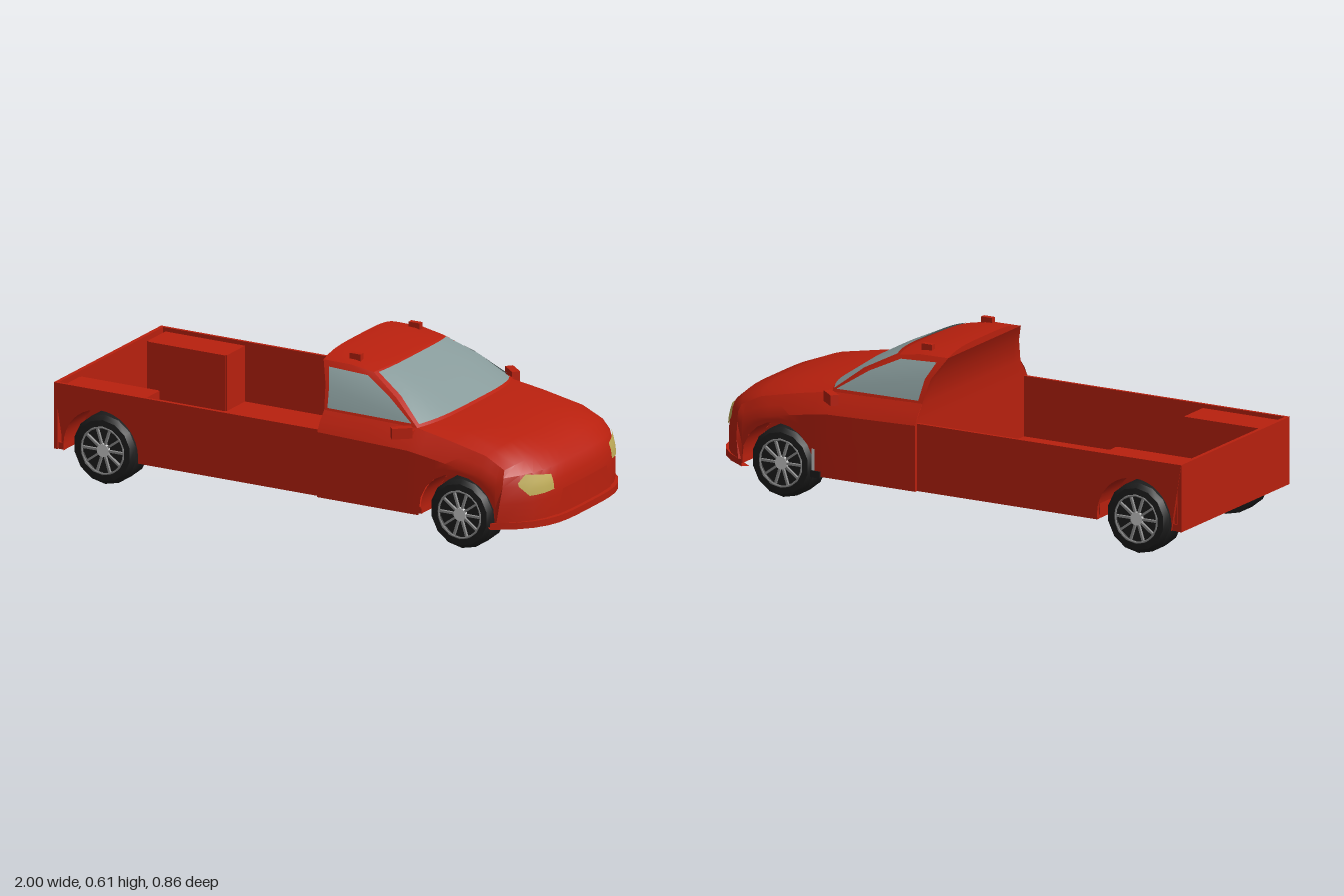
import * as THREE from 'three';
import { toCreasedNormals } from 'three/addons/utils/BufferGeometryUtils.js';

const mat = (color) => new THREE.MeshStandardMaterial({ color, side: THREE.DoubleSide });
const RED = mat(0xb8200e), GLASS = mat(0x879a9a), TYRE = mat(0x1d1d1d);
const METAL = mat(0x8c8c8c), LAMP = mat(0xc0ad58), GREY = mat(0xcccccc);
const { lerp } = THREE.MathUtils;
const AXLES = [-0.805, 0.675], HUB = 0.13, ARCH = 0.155, SILL = 0.11;

function add(parent, name, geo, material, x = 0, y = 0, z = 0) {
  const m = new THREE.Mesh(geo, material);
  m.name = name;
  m.position.set(x, y, z);
  parent.add(m);
  return m;
}

// Surface through a rectangular array of [x, y, z] points
function grid(rows) {
  const n = rows[0].length, idx = [];
  for (let i = 0; i < rows.length - 1; i++)
    for (let j = 0; j < n - 1; j++) {
      const a = i * n + j, b = a + n;
      idx.push(a, b, a + 1, b, b + 1, a + 1);
    }
  const g = new THREE.BufferGeometry();
  g.setAttribute('position', new THREE.Float32BufferAttribute(rows.flat(2), 3));
  g.setIndex(idx);
  return toCreasedNormals(g, 0.5);
}

// Cross-car row [x, y, halfWidth, bow, crown] evaluated at t = -1..1
const across = ([x, y, w, bow, crown], t) => [x - bow * t ** 4, y - crown * t ** 4, w * t];
const sweep = (rows, n = 16) =>
  grid(rows.map((r) => Array.from({ length: n + 1 }, (_, i) => across(r, 1 - (2 * i) / n))));

// Centre line from roof over windscreen, bonnet and nose to the bumper
const ROOF = [[0.045, 0.605, 0.255, 0, 0.024], [0.16, 0.598, 0.255, 0, 0.018], [0.27, 0.572, 0.25, 0.02, 0.007]];
const SCREEN = [ROOF[2], [0.41, 0.505, 0.295, 0.04, 0.005], [0.53, 0.425, 0.335, 0.05, 0.01]];
const NOSE = [
  SCREEN[2], [0.65, 0.413, 0.34, 0.04, 0.02], [0.8, 0.388, 0.345, 0.03, 0.028], [0.9, 0.35, 0.35, 0.05, 0.03],
  [0.955, 0.305, 0.365, 0.1, 0.01], [0.975, 0.26, 0.372, 0.12, 0], [0.98, 0.2, 0.385, 0.13, 0], [0.98, 0.13, 0.39, 0.14, 0],
];
const LIP = [NOSE[7], [1, 0.13, 0.4, 0.18, 0], [1, 0.105, 0.4, 0.18, 0], [0.95, 0.105, 0.38, 0.15, 0]];
const EDGE = NOSE.map((r) => across(r, 1));

// Point on the front face of the nose at height y and side z, pushed forward by d
function onNose(z, y, d) {
  let i = 4;
  while (i < 6 && NOSE[i + 1][1] > y) i++;
  const k = (NOSE[i][1] - y) / (NOSE[i][1] - NOSE[i + 1][1]);
  const r = NOSE[i].map((v, j) => lerp(v, NOSE[i + 1][j], k));
  return [r[0] - r[3] * (z / r[2]) ** 4 + d, y, z];
}

// Door and front wing, with the lower edge following the wheel arch
function wing(s) {
  const xs = [0.1, 0.3, 0.47, 0.5199];
  for (let i = 0; i <= 10; i++) xs.push(AXLES[1] - ARCH * Math.cos((i * Math.PI) / 10));
  xs.push(0.8301);
  const cols = xs.map((x) => {
    let top = [lerp(0.425, 0.415, (x - 0.1) / 0.38), lerp(0.345, 0.335, (x - 0.1) / 0.38)];
    for (let i = 0; i < 3; i++) {
      const [a, b] = [EDGE[i], EDGE[i + 1]];
      if (x >= a[0]) top = [1, 2].map((j) => lerp(a[j], b[j], (x - a[0]) / (b[0] - a[0])));
    }
    const dx = x - AXLES[1];
    const low = Math.abs(dx) < ARCH ? Math.max(SILL, HUB + Math.sqrt(ARCH ** 2 - dx * dx)) : SILL;
    const out = lerp(0.395, 0.38, Math.max(0, (x - 0.5) / 0.35));
    const shoulder = top[0] - 0.07;
    return [
      [x, top[0], s * top[1]], [x, top[0] - 0.035, s * lerp(top[1], out, 0.6)], [x, shoulder, s * out],
      [x, (shoulder + low) / 2, s * out], [x, low, s * out],
    ];
  });
  cols.push(EDGE.slice(3).map(([x, y, z]) => [x, y, s * z]));
  return grid(cols);
}

function makeWheel() {
  const g = new THREE.Group();
  const profile = [[0, -0.055], [0.13, -0.055], [0.13, 0.035], [0.115, 0.053], [0.092, 0.055], [0.087, 0.04], [0, 0.04]];
  const tyre = new THREE.LatheGeometry(profile.map(([r, a]) => new THREE.Vector2(r, a)), 14).rotateX(Math.PI / 2);
  add(g, 'tyre', toCreasedNormals(tyre, 0.5), TYRE);
  add(g, 'rim', new THREE.TorusGeometry(0.087, 0.004, 4, 20), METAL, 0, 0, 0.053);
  add(g, 'hub', new THREE.CylinderGeometry(0.025, 0.025, 0.014, 10).rotateX(Math.PI / 2), GREY, 0, 0, 0.046);
  for (let i = 0; i < 10; i++) {
    const spoke = new THREE.BoxGeometry(0.07, 0.008, 0.01).translate(0.05, 0, 0.046).rotateZ((i * Math.PI) / 5);
    add(g, 'spoke', spoke, METAL);
  }
  return g;
}

export function createModel() {
  const truck = new THREE.Group();
  truck.name = 'pickupTruck';

  // Cab and front bodywork
  add(truck, 'roof', sweep(ROOF), RED);
  add(truck, 'windscreenFrame', sweep(SCREEN), RED);
  add(truck, 'bonnetAndNose', sweep(NOSE), RED);
  add(truck, 'bumperLip', sweep(LIP), RED);
  add(truck, 'cabBack', sweep([[0.1, SILL, 0.395, 0, 0], [0.1, 0.355, 0.395, 0, 0], [0.1, 0.425, 0.345, 0, 0],
    [0.085, 0.51, 0.31, 0, 0], [0.045, 0.581, 0.255, 0, 0], ROOF[0]]), RED);
  add(truck, 'windscreen', sweep([[0.285, 0.572, 0.24, 0.02, 0.007], [0.415, 0.511, 0.28, 0.035, 0.005],
    [0.525, 0.436, 0.322, 0.045, 0.01]]), GLASS);
  add(truck, 'grillePanel', grid([0.22, 0.13].map((y, i) =>
    [-1, -0.5, 0, 0.5, 1].map((t) => onNose(t * [0.155, 0.19][i], y, 0.005)))), RED);

  // Floor plan with notches for the wheels
  const half = [[-1, 0.375]];
  for (const x of AXLES) half.push([x - ARCH, 0.375], [x - ARCH, 0.25], [x + ARCH, 0.25], [x + ARCH, 0.375]);
  half.push([0.84, 0.375], [0.92, 0.3], [0.96, 0.15]);
  const plan = [...half, ...half.map(([x, z]) => [x, -z]).reverse()].map((p) => new THREE.Vector2(...p));
  const floor = new THREE.ExtrudeGeometry(new THREE.Shape(plan), { depth: 0.025, bevelEnabled: false });
  add(truck, 'floor', floor.rotateX(-Math.PI / 2), RED, 0, SILL, 0);

  // Load bed
  add(truck, 'tailgate', new THREE.BoxGeometry(0.015, 0.25, 0.76), RED, -0.9925, 0.235, 0);
  const a0 = Math.asin((HUB - SILL) / ARCH), side = new THREE.Shape();
  side.moveTo(-1, SILL);
  side.absarc(AXLES[0], HUB, ARCH, Math.PI + a0, -a0, true);
  side.lineTo(0.1, SILL).lineTo(0.1, 0.36).lineTo(-1, 0.36);
  const panel = new THREE.ExtrudeGeometry(side, { depth: 0.012, bevelEnabled: false, curveSegments: 10 });

  for (const s of [1, -1]) {
    add(truck, 'bedSide', panel, RED, 0, 0, s > 0 ? 0.37 : -0.382);
    // Wheel housing in the bed: top, inner face and two ends
    add(truck, 'bedHousingTop', new THREE.BoxGeometry(0.32, 0.01, 0.13), RED, -0.81, 0.34, s * 0.305);
    add(truck, 'bedHousingSide', new THREE.BoxGeometry(0.32, 0.22, 0.01), RED, -0.81, 0.235, s * 0.24);
    for (const x of [-0.97, -0.65])
      add(truck, 'bedHousingEnd', new THREE.BoxGeometry(0.01, 0.22, 0.13), RED, x, 0.235, s * 0.305);

    add(truck, 'doorAndWing', wing(s), RED);
    const m = (p) => [p[0], p[1], s * p[2]];
    add(truck, 'cabPillars', grid([
      [[0.1, 0.425, 0.345], [0.3, 0.42, 0.34], [0.48, 0.415, 0.335]],
      [[0.085, 0.51, 0.31], [0.23, 0.507, 0.304], [0.37, 0.5, 0.295]],
      [[0.045, 0.581, 0.255], [0.16, 0.58, 0.255], [0.25, 0.565, 0.25]],
    ].map((r) => r.map(m))), RED);
    add(truck, 'sideWindow', grid([
      [[0.115, 0.435, 0.348], [0.46, 0.43, 0.341]],
      [[0.105, 0.51, 0.318], [0.345, 0.505, 0.305]],
      [[0.08, 0.566, 0.278], [0.235, 0.556, 0.268]],
    ].map((r) => r.map(m))), GLASS);

    // Headlamp as columns [z, bottom, top]
    const lamp = [[0.205, 0.23, 0.285], [0.25, 0.226, 0.292], [0.28, 0.225, 0.297], [0.307, 0.225, 0.302], [0.335, 0.262, 0.275]];
    add(truck, 'headlamp', grid(lamp.map(([z, lo, hi]) =>
      [0, 0.33, 0.66, 1].map((k) => m(onNose(z, lerp(lo, hi, k), 0.006))))), LAMP);

    // Door mirror and roof bracket
    const mirror = add(truck, 'mirror', new THREE.BoxGeometry(0.075, 0.04, 0.03), RED, 0.45, 0.41, s * 0.395);
    mirror.rotation.y = s * 0.7;
    add(truck, 'mirrorArm', new THREE.BoxGeometry(0.03, 0.015, 0.06), RED, 0.46, 0.402, s * 0.36);
    add(truck, 'roofBracket', new THREE.BoxGeometry(0.045, 0.03, 0.02), RED, 0.155, 0.595, s * 0.21);

    // Wheels with their wells
    for (const x of AXLES) {
      const well = new THREE.CylinderGeometry(ARCH, ARCH, 0.13, 20, 1, true, Math.PI / 2, Math.PI);
      add(truck, 'wheelWell', well.rotateX(Math.PI / 2), RED, x, HUB, s * 0.315);
      add(truck, 'wellInnerWall', new THREE.CircleGeometry(ARCH, 12, 0, Math.PI), RED, x, HUB, s * 0.25);
      const wheel = makeWheel();
      wheel.name = 'wheel';
      wheel.position.set(x, HUB, s * 0.316);
      wheel.rotation.y = s > 0 ? 0 : Math.PI;
      truck.add(wheel);
    }
  }

  // Plate and block behind the right front wheel
  add(truck, 'sillPlate', new THREE.BoxGeometry(0.012, 0.08, 0.025), GREY, 0.525, 0.17, -0.382);
  add(truck, 'sillBlock', new THREE.BoxGeometry(0.04, 0.025, 0.03), TYRE, 0.515, 0.117, -0.384);
  return truck;
}
